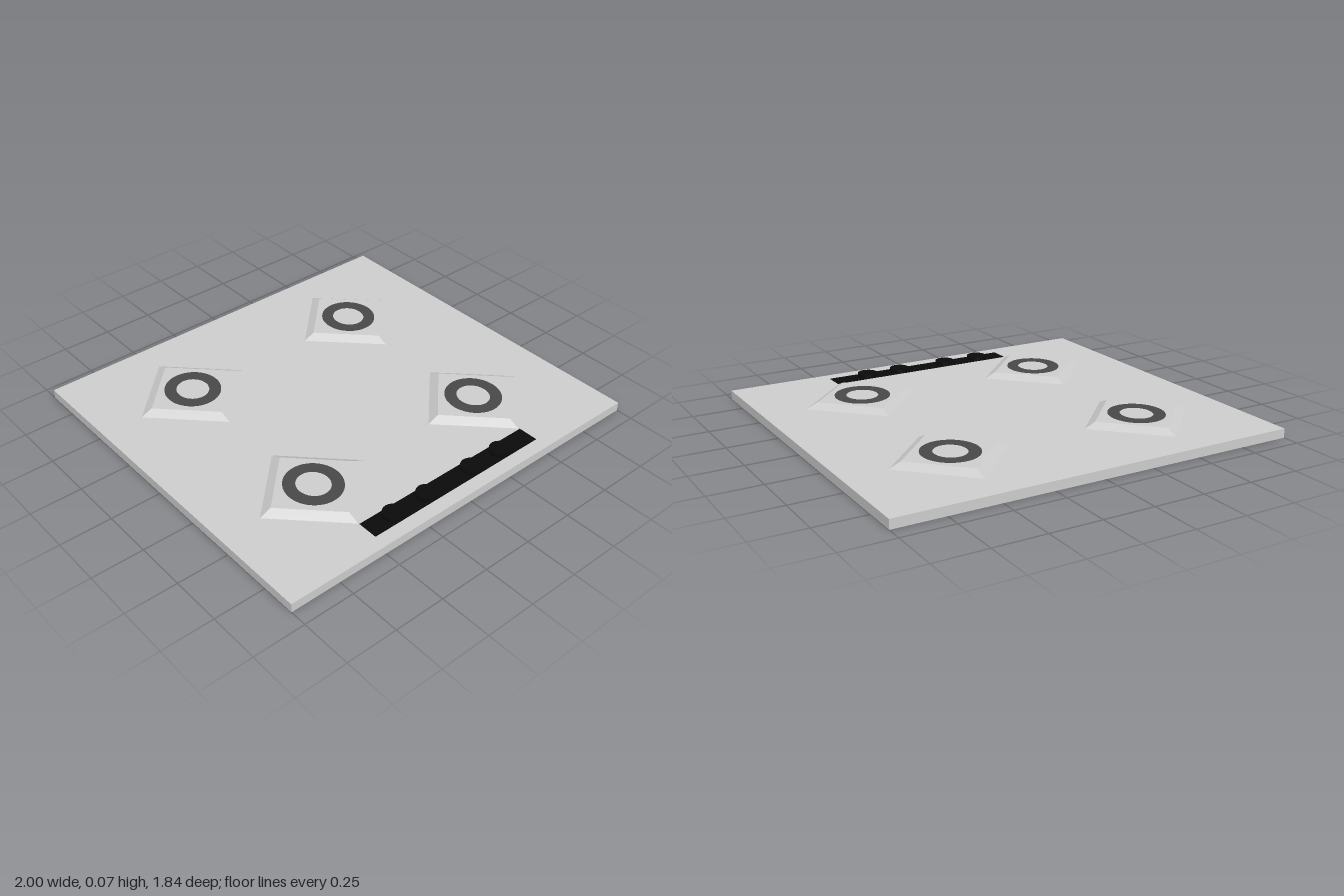
import * as THREE from 'three';

const W = 2, D = 1.836, TOP = 0.045, STUD_TOP = 0.07;
const R_BASE = 0.294, R_TOP = 0.236;
const STUDS = [[-0.5, -0.46], [0.49, -0.46], [-0.5, 0.45], [0.49, 0.45]];

export function createModel() {
  const model = new THREE.Group();
  const lightGrey = new THREE.MeshStandardMaterial({ color: 0xcccccc, side: THREE.DoubleSide });
  lightGrey.name = 'lightGrey';
  const darkGrey = new THREE.MeshStandardMaterial({ color: 0x484848 });
  darkGrey.name = 'darkGrey';
  const black = new THREE.MeshStandardMaterial({ color: 0x0a0a0a });
  black.name = 'black';

  const add = (parent, name, geometry, material, x = 0, y = 0, z = 0) => {
    const mesh = new THREE.Mesh(geometry, material);
    mesh.name = name;
    mesh.position.set(x, y, z);
    parent.add(mesh);
    return mesh;
  };

  // Plate top with diamond openings beneath the hollow studs
  const plate = new THREE.Shape([
    new THREE.Vector2(-W / 2, -D / 2), new THREE.Vector2(W / 2, -D / 2),
    new THREE.Vector2(W / 2, D / 2), new THREE.Vector2(-W / 2, D / 2),
  ]);
  for (const [x, z] of STUDS) {
    plate.holes.push(new THREE.Path([
      new THREE.Vector2(x + R_BASE, -z), new THREE.Vector2(x, -z - R_BASE),
      new THREE.Vector2(x - R_BASE, -z), new THREE.Vector2(x, -z + R_BASE),
    ]));
  }
  add(model, 'plateTop', new THREE.ShapeGeometry(plate).rotateX(-Math.PI / 2), lightGrey, 0, TOP, 0);

  // Plate rim, open underneath
  ['frontRim', 'leftRim', 'backRim', 'rightRim'].forEach((name, i) => {
    const side = i % 2 === 1;
    const geometry = new THREE.PlaneGeometry(side ? D : W, TOP)
      .translate(0, TOP / 2, (side ? W : D) / 2)
      .rotateY(i * Math.PI / 2);
    add(model, name, geometry, lightGrey);
  });

  // Bevelled diamond studs, each with a dark ring set in its top
  const skirt = new THREE.CylinderGeometry(R_TOP, R_BASE, STUD_TOP - TOP, 4, 1, true).toNonIndexed();
  skirt.computeVertexNormals();
  const cap = new THREE.CircleGeometry(R_TOP, 4).rotateX(-Math.PI / 2);
  const ringShape = new THREE.Shape().absellipse(0, 0, 0.134, 0.14, 0, Math.PI * 2);
  ringShape.holes.push(new THREE.Path().absellipse(0, 0, 0.077, 0.083, 0, Math.PI * 2, true));
  const ring = new THREE.ExtrudeGeometry(ringShape, { depth: 0.004, bevelEnabled: false, curveSegments: 32 })
    .translate(0, 0, -0.002)
    .rotateX(-Math.PI / 2);
  for (const [x, z] of STUDS) {
    const stud = new THREE.Group();
    stud.name = 'stud';
    stud.position.set(x, 0, z);
    add(stud, 'studBevel', skirt, lightGrey, 0, (TOP + STUD_TOP) / 2, 0);
    add(stud, 'studTop', cap, lightGrey, 0, STUD_TOP, 0);
    add(stud, 'studRing', ring, darkGrey, 0, STUD_TOP, 0);
    model.add(stud);
  }

  // Black front strip with four low round buttons
  add(model, 'frontStrip', new THREE.BoxGeometry(0.99, 0.004, 0.1), black, -0.003, TOP, 0.8);
  const button = new THREE.CylinderGeometry(0.05, 0.05, 0.02, 24);
  for (const x of [-0.352, -0.155, 0.118, 0.303]) {
    add(model, 'button', button, black, x, TOP + 0.01, 0.8);
  }

  return model;
}
